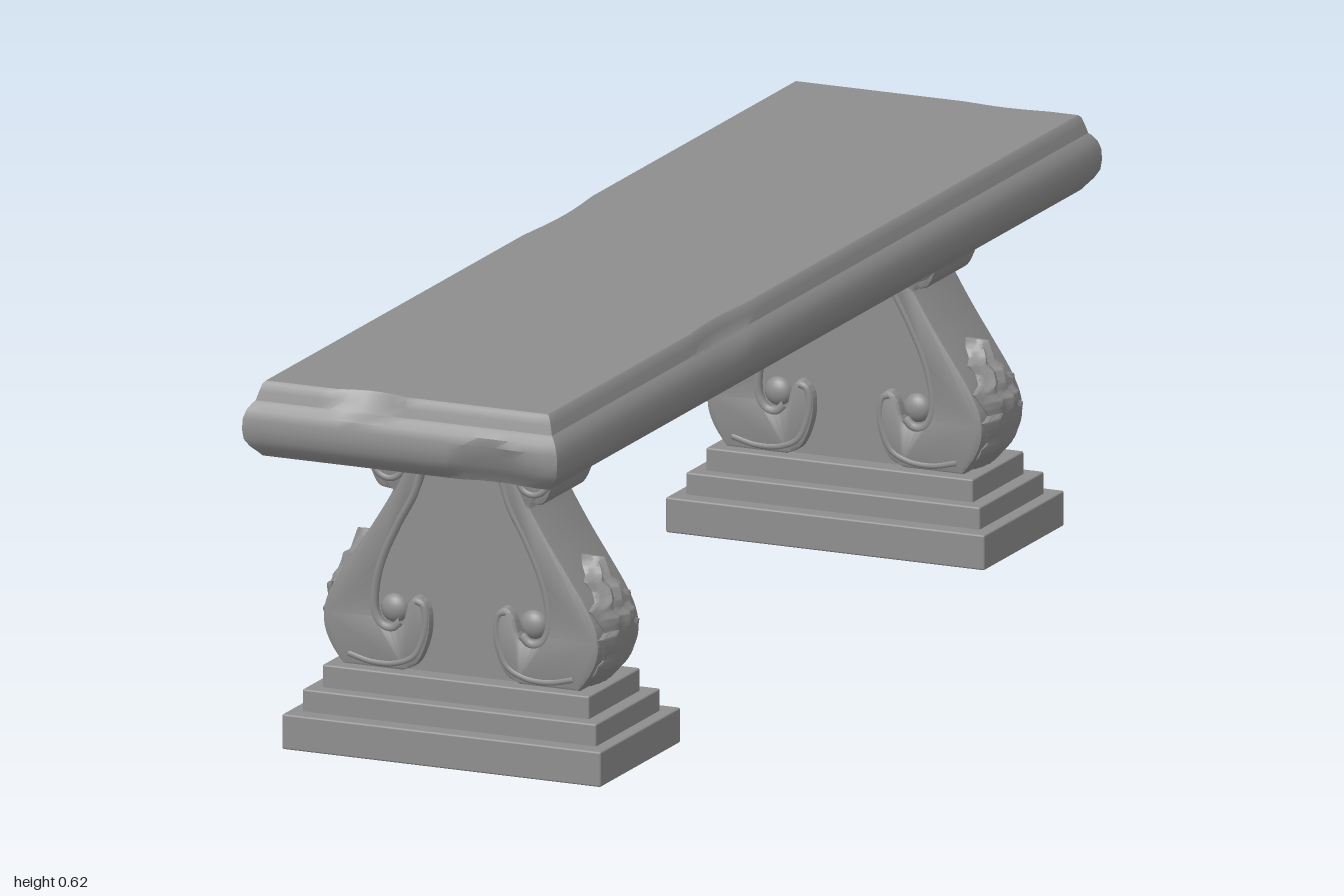
import * as THREE from 'three';
import { toCreasedNormals } from 'three/addons/utils/BufferGeometryUtils.js';
import { RoundedBoxGeometry } from 'three/addons/geometries/RoundedBoxGeometry.js';

const stone = new THREE.MeshStandardMaterial({ color: 0x8e8e8e });
stone.name = 'stone';

function part(name, geometry, parent) {
  const mesh = new THREE.Mesh(geometry, stone);
  mesh.name = name;
  parent.add(mesh);
  return mesh;
}

// Skin rings of points (anticlockwise from above, bottom to top) and cap both ends.
function loft(rings, crease) {
  const n = rings[0].length, pos = [], idx = [];
  rings.forEach(r => r.forEach(p => pos.push(p.x, p.y, p.z)));
  for (let j = 0; j < rings.length - 1; j++) {
    for (let i = 0; i < n; i++) {
      const a = j * n + i, b = j * n + (i + 1) % n;
      idx.push(a, b, b + n, a, b + n, a + n);
    }
  }
  [0, rings.length - 1].forEach((j, top) => {
    const c = new THREE.Vector3();
    rings[j].forEach(p => c.addScaledVector(p, 1 / n));
    const centre = pos.length / 3;
    pos.push(c.x, c.y, c.z);
    for (let i = 0; i < n; i++) {
      const a = j * n + i, b = j * n + (i + 1) % n;
      if (top) idx.push(centre, a, b); else idx.push(centre, b, a);
    }
  });
  const g = new THREE.BufferGeometry();
  g.setAttribute('position', new THREE.Float32BufferAttribute(pos, 3));
  g.setIndex(idx);
  return toCreasedNormals(g, crease);
}

// Piecewise linear lookup in a list of [key, value].
function lookup(table, k) {
  for (let i = 1; i < table.length; i++) {
    const [k0, v0] = table[i - 1], [k1, v1] = table[i];
    if (k <= k1) return v0 + (v1 - v0) * Math.max(0, (k - k0) / (k1 - k0));
  }
  return table[table.length - 1][1];
}

const vec2 = list => list.map(([x, y]) => new THREE.Vector2(x, y));

// Moulded slab with a few worn spots along its rim.
function seatGeometry() {
  const profile = [[0.503, 0.024], [0.508, 0.02], [0.52, 0.009], [0.532, 0.002], [0.548, 0],
    [0.565, 0.001], [0.578, 0.005], [0.588, 0.012], [0.592, 0.016], [0.606, 0.02], [0.618, 0.024], [0.622, 0.028]];
  const dents = [[0.15, 0.525, 1, 0.07, 0.014], [-0.06, 0.62, 1, 0.06, 0.016],
    [-0.265, 0.62, -0.1, 0.12, 0.008], [0.265, 0.62, 0.35, 0.1, 0.006], [0.12, 0.62, -1, 0.07, 0.008]];
  const rings = profile.map(([y, inset]) => {
    const hx = 0.267 - inset, hz = 1 - inset, ring = [];
    const corners = [[hx, hz], [hx, -hz], [-hx, -hz], [-hx, hz]];
    corners.forEach(([x0, z0], c) => {
      const [x1, z1] = corners[(c + 1) % 4], steps = c % 2 ? 20 : 60;
      for (let i = 0; i < steps; i++) {
        const t = i / steps;
        const p = new THREE.Vector3(x0 + (x1 - x0) * t, y, z0 + (z1 - z0) * t);
        dents.forEach(([dx, dy, dz, r, depth]) => {
          const d = Math.hypot(p.x - dx, (p.y - dy) * 1.5, p.z - dz) / r;
          if (d >= 1) return;
          const push = depth * (1 - d * d);
          if (Math.abs(dz) === 1) p.z -= Math.sign(dz) * push; else p.x -= Math.sign(dx) * push;
        });
        ring.push(p);
      }
    });
    return ring;
  });
  return loft(rings, 0.5);
}

// Outer edge of the scroll, from under the top volute to the foot.
const outerEdge = [[0.119, 0.408], [0.15, 0.357], [0.185, 0.305], [0.213, 0.262], [0.23, 0.225],
  [0.233, 0.19], [0.222, 0.158], [0.2, 0.127]];
// Inner edge of the scroll, from the hook round the lower eye to the top.
const innerEdge = [[0.098, 0.205], [0.112, 0.193], [0.13, 0.195], [0.143, 0.215], [0.144, 0.25],
  [0.132, 0.3], [0.105, 0.36], [0.078, 0.41], [0.065, 0.45], [0.062, 0.5]];

function scrollGeometry() {
  const s = new THREE.Shape();
  s.moveTo(0.062, 0.502);
  s.lineTo(0.118, 0.502);
  s.splineThru(vec2([[0.142, 0.496], [0.158, 0.465], [0.15, 0.435], [0.138, 0.418], [0.119, 0.414]]));
  s.splineThru(vec2(outerEdge));
  s.lineTo(0.1, 0.127);
  s.splineThru(vec2([[0.075, 0.14], [0.06, 0.168], [0.053, 0.2], [0.056, 0.232], [0.074, 0.248], [0.09, 0.235], [0.098, 0.205]]));
  s.splineThru(vec2(innerEdge.slice(1)));
  const g = new THREE.ExtrudeGeometry(s, { depth: 0.138, bevelThickness: 0.008, bevelSize: 0.005,
    bevelOffset: -0.005, bevelSegments: 2, curveSegments: 30 });
  g.translate(0, 0, -0.069);
  return toCreasedNormals(g, 0.7);
}

// Lobed leaf hugging the outer edge of the scroll.
function leafGeometry() {
  const width = [[0.128, 0.04], [0.15, 0.064], [0.168, 0.066], [0.174, 0.05], [0.19, 0.06], [0.212, 0.074],
    [0.219, 0.052], [0.235, 0.062], [0.257, 0.074], [0.263, 0.044], [0.275, 0.036], [0.293, 0.043],
    [0.3, 0.026], [0.314, 0.018], [0.325, 0.003]];
  const front = [[0.128, 0.212], [0.16, 0.239], [0.2, 0.249], [0.24, 0.254], [0.246, 0.242],
    [0.283, 0.234], [0.289, 0.222], [0.325, 0.209]];
  const body = outerEdge.map(([x, y]) => [y, x]).reverse();
  const rings = [], rows = 54, cols = 16;
  for (let j = 0; j <= rows; j++) {
    const y = 0.128 + 0.197 * j / rows;
    const w = lookup(width, y), x1 = lookup(front, y);
    const x0 = Math.min(x1 - 0.006, lookup(body, y) + 0.003), ring = [];
    for (let i = 0; i <= cols; i++) {
      const u = 1 - 2 * i / cols;
      const bulge = (1 - u * u) * (0.85 + 0.15 * Math.cos(u * Math.PI * 4));
      ring.push(new THREE.Vector3(x0 + (x1 - x0) * bulge, y, u * w));
    }
    for (let i = 0; i <= cols; i++) ring.push(new THREE.Vector3(x0 - 0.01, y, (2 * i / cols - 1) * w));
    rings.push(ring);
  }
  return loft(rings, 0.8);
}

function tube(points, z, radius) {
  const curve = new THREE.CatmullRomCurve3(points.map(([x, y]) => new THREE.Vector3(x, y, z)));
  return new THREE.TubeGeometry(curve, 60, radius, 8);
}

// One side of a pedestal: scroll, raised rims, volute eyes and leaf.
function scrollSide() {
  const side = new THREE.Group();
  side.name = 'scrollSide';
  part('scroll', scrollGeometry(), side);
  part('leaf', leafGeometry(), side);
  const spiral = [];
  for (let i = 0; i <= 24; i++) {
    const t = i / 24, a = Math.PI * (0.6 - 2.4 * t), r = 0.036 - 0.022 * t;
    spiral.push([0.119 + r * Math.cos(a), 0.458 + r * Math.sin(a)]);
  }
  const curl = [[0.19, 0.145], [0.15, 0.136], [0.11, 0.138], [0.08, 0.152], [0.066, 0.178],
    [0.06, 0.21], [0.065, 0.235], [0.076, 0.24]];
  for (const f of [1, -1]) {
    part('scrollRim', tube(innerEdge.slice(0, 9).map(([x, y]) => [x + 0.004, y]), f * 0.071, 0.0075), side);
    part('upperSpiral', tube(spiral, f * 0.074, 0.006), side);
    part('lowerCurl', tube(curl, f * 0.073, 0.006), side);
    const eye = part('lowerEye', new THREE.SphereGeometry(0.023, 20, 12), side);
    eye.scale.z = 0.7;
    eye.position.set(0.118, 0.222, f * 0.06);
  }
  return side;
}

function pedestal() {
  const g = new THREE.Group();
  g.name = 'pedestal';
  // stepped plinth: [width, bottom, top, depth]
  [[0.54, 0, 0.056, 0.294], [0.498, 0.05, 0.091, 0.236], [0.452, 0.085, 0.127, 0.188]].forEach(([w, y0, y1, d]) => {
    part('plinthStep', new RoundedBoxGeometry(w, y1 - y0, d, 2, 0.003), g).position.y = (y0 + y1) / 2;
  });
  // recessed panel between the scrolls
  const half = [[0.1, 0.504], [0.1, 0.42], [0.2, 0.26], [0.215, 0.19], [0.19, 0.12]];
  const outline = new THREE.Shape(vec2([...half, ...half.map(([x, y]) => [-x, y]).reverse()]));
  const panel = new THREE.ExtrudeGeometry(outline, { depth: 0.122, bevelEnabled: false });
  panel.translate(0, 0, -0.061);
  part('panel', panel, g);
  const left = scrollSide(), right = scrollSide();
  right.rotation.y = Math.PI;
  g.add(left, right);
  return g;
}

export function createModel() {
  const bench = new THREE.Group();
  bench.name = 'bench';
  part('seat', seatGeometry(), bench);
  for (const z of [0.7, -0.708]) {
    const p = pedestal();
    p.position.z = z;
    bench.add(p);
  }
  return bench;
}
